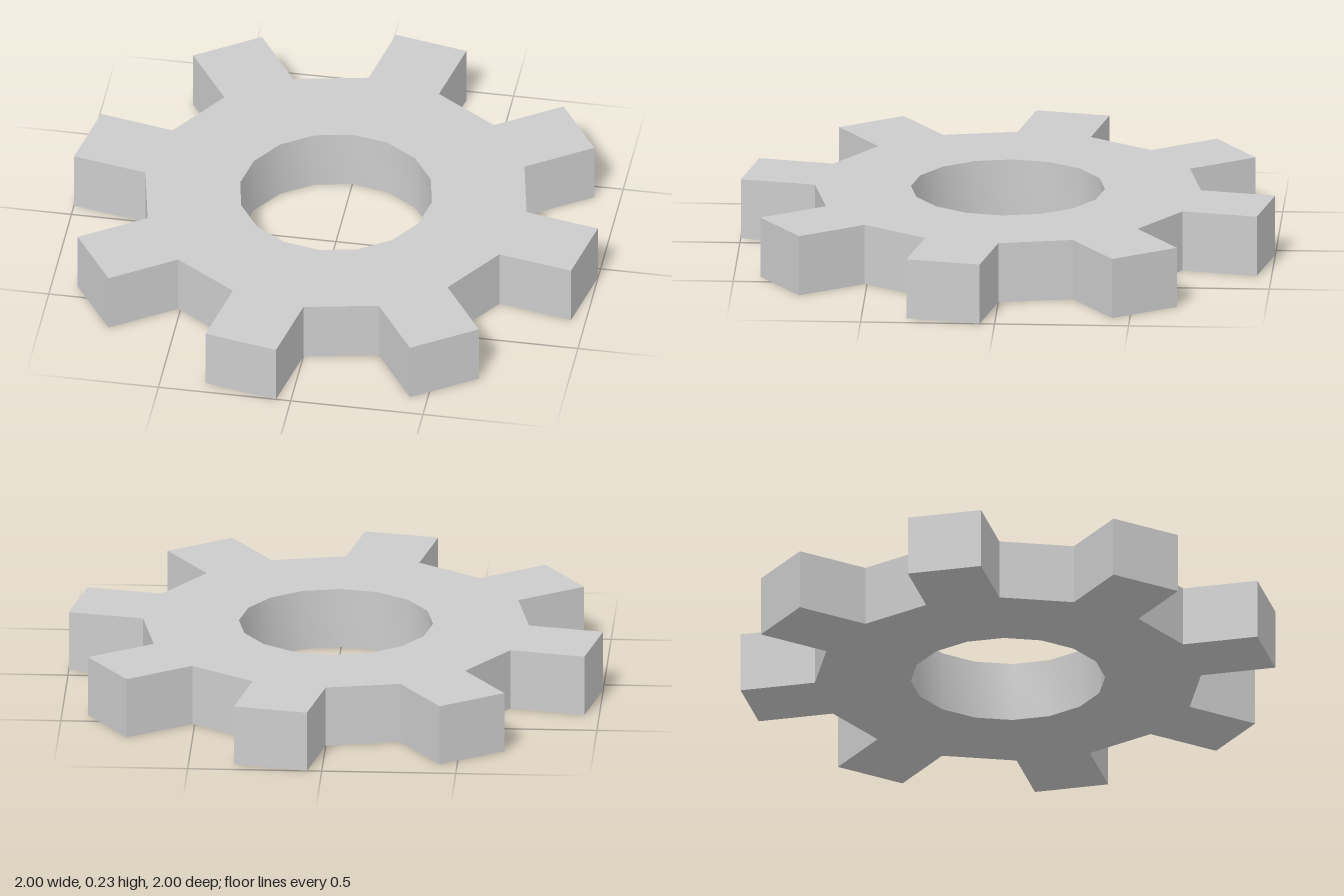
import * as THREE from 'three';
import { toCreasedNormals } from 'three/addons/utils/BufferGeometryUtils.js';

const TEETH = 8;
const HEIGHT = 0.23;
const BODY_RADIUS = 0.72;
const BORE_RADIUS = 0.362;
const TOOTH_LENGTH = 0.285;

const polar = (radius, angle) =>
  new THREE.Vector2(Math.cos(angle) * radius, Math.sin(angle) * radius);

export function createModel() {
  const model = new THREE.Group();
  model.name = 'gear';

  // Outline: a 16-sided body with a straight tooth on every other side
  const step = Math.PI / TEETH;
  const outline = [];
  for (let i = 0; i < TEETH; i++) {
    const angle = i * 2 * step;
    const rootA = polar(BODY_RADIUS, angle);
    const rootB = polar(BODY_RADIUS, angle + step);
    const outward = polar(TOOTH_LENGTH, angle + step / 2);
    outline.push(rootA, rootA.clone().add(outward), rootB.clone().add(outward), rootB);
  }
  const shape = new THREE.Shape(outline);

  // Round bore through the middle
  const bore = [];
  for (let i = 0; i < 16; i++) bore.push(polar(BORE_RADIUS, -i * Math.PI / 8));
  shape.holes.push(new THREE.Path(bore));

  // Lay the extrusion flat; the bore wall is smooth, all other edges stay sharp
  const solid = new THREE.ExtrudeGeometry(shape, { depth: HEIGHT, bevelEnabled: false });
  solid.rotateX(Math.PI / 2).translate(0, HEIGHT, 0);
  const gear = new THREE.Mesh(
    toCreasedNormals(solid, Math.PI / 6),
    new THREE.MeshStandardMaterial({ color: 0xcccccc })
  );
  gear.name = 'gearWheel';
  model.add(gear);
  return model;
}
